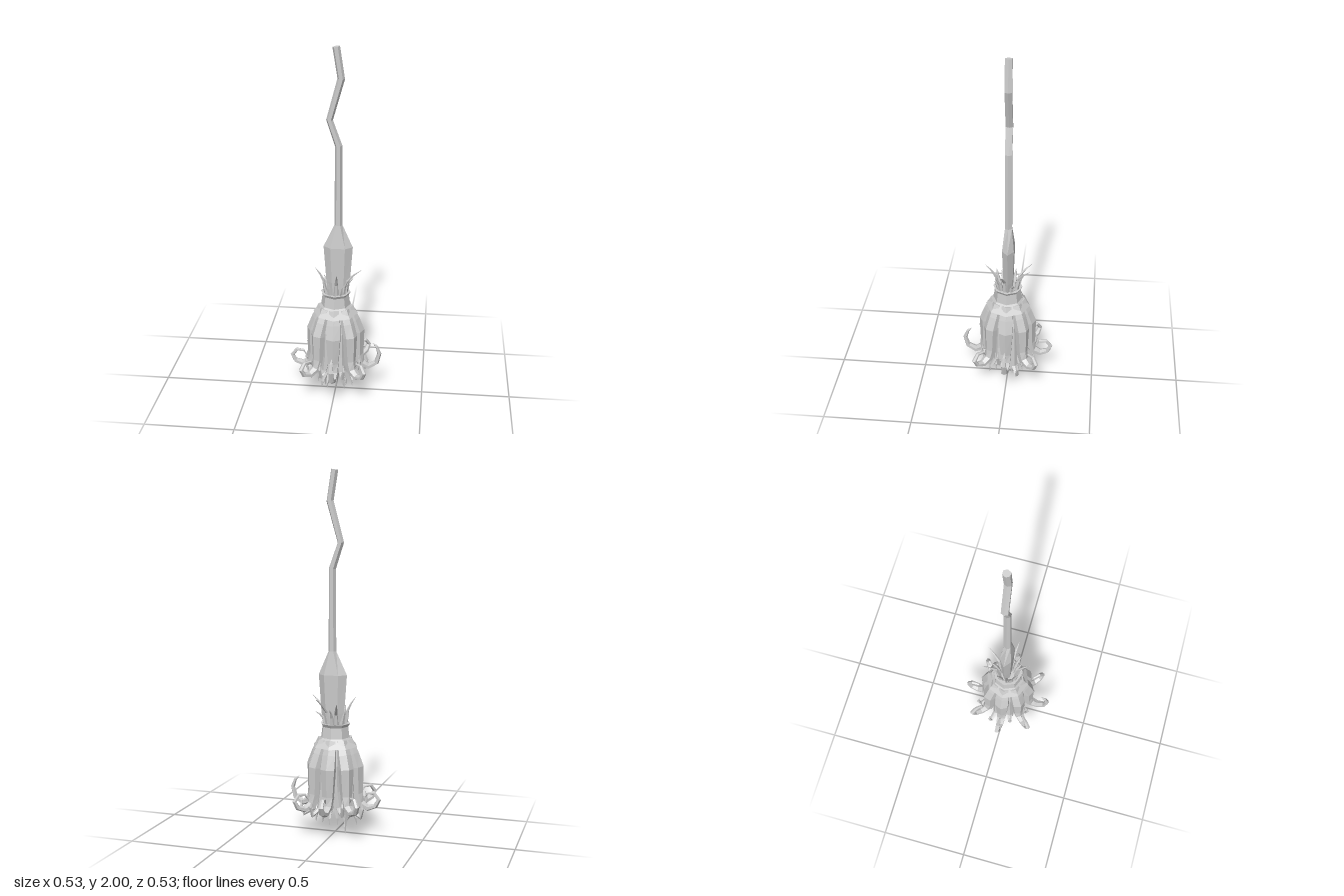
import * as THREE from 'three';

const V = (x, y, z) => new THREE.Vector3(x, y, z);
const material = new THREE.MeshStandardMaterial({ color: 0xcccccc, flatShading: true, side: THREE.DoubleSide });

// Small seeded generator for the irregular strands
let seed = 7;
const rand = (a, b) => {
  seed = (seed * 16807) % 2147483647;
  return a + (b - a) * (seed / 2147483647);
};

// Faceted limb: elliptical rings along a path. rings = [[point, depth, width], ...],
// width is measured along the side vector, depth across it.
function limb(name, rings, side, sides = 6) {
  const pos = [], index = [];
  rings.forEach(([p, depth, width], i) => {
    const prev = rings[Math.max(i - 1, 0)][0], next = rings[Math.min(i + 1, rings.length - 1)][0];
    const tangent = next.clone().sub(prev).normalize();
    const normal = side.clone().cross(tangent).normalize();
    const across = tangent.clone().cross(normal);
    for (let j = 0; j < sides; j++) {
      const a = (j / sides) * Math.PI * 2;
      const v = p.clone().addScaledVector(normal, Math.cos(a) * depth).addScaledVector(across, Math.sin(a) * width);
      pos.push(v.x, v.y, v.z);
    }
  });
  const last = (rings.length - 1) * sides, c0 = rings.length * sides;
  const first = rings[0][0], end = rings[rings.length - 1][0];
  pos.push(first.x, first.y, first.z, end.x, end.y, end.z);
  for (let j = 0; j < sides; j++) {
    const k = (j + 1) % sides;
    for (let i = 0; i < last; i += sides) {
      index.push(i + j, i + k, i + sides + k, i + j, i + sides + k, i + sides + j);
    }
    index.push(c0, k, j, c0 + 1, last + j, last + k);
  }
  const indexed = new THREE.BufferGeometry();
  indexed.setAttribute('position', new THREE.Float32BufferAttribute(pos, 3));
  indexed.setIndex(index);
  const geometry = indexed.toNonIndexed();
  geometry.computeVertexNormals();
  const mesh = new THREE.Mesh(geometry, material);
  mesh.name = name;
  return mesh;
}

// Limb lying in a vertical plane at an angle; profile = [[radius, y, depth, width, drift], ...]
function radialLimb(name, angle, profile, sides) {
  const c = Math.cos(angle), s = Math.sin(angle);
  const rings = profile.map(([r, y, d, w, t = 0]) => [V(c * r - s * t, y, s * r + c * t), d, w]);
  return limb(name, rings, V(-s, 0, c), sides);
}

export function createModel() {
  const model = new THREE.Group();
  model.name = 'broom';

  // Crooked handle that swells into a flat grip above the collar
  const handle = [
    [0.013, 0.5, 0.04, 0.02], [0.013, 0.68, 0.066, 0.03], [0.013, 0.89, 0.081, 0.038],
    [0.015, 1.02, 0.022, 0.022], [0.015, 1.47, 0.02, 0.022], [-0.033, 1.61, 0.018, 0.022],
    [0.028, 1.83, 0.02, 0.022], [0.002, 1.996, 0.02, 0.022],
  ];
  model.add(limb('handle', handle.map(([x, y, d, w]) => [V(x, y, -0.005), d, w]), V(0, 0, 1)));

  // Eight-sided flared collar
  const collar = new THREE.Mesh(new THREE.LatheGeometry([
    [0, 0.5], [0.09, 0.5], [0.126, 0.495], [0.082, 0.545], [0.074, 0.605], [0.084, 0.622],
    [0.066, 0.622], [0.058, 0.57], [0, 0.57],
  ].map(([r, y]) => new THREE.Vector2(r, y)), 8), material);
  collar.name = 'collar';
  model.add(collar);

  // Eight thick bristle bundles: long hooks on two sides, tight curls elsewhere
  const trunk = [
    [0.07, 0.53, 0.03, 0.032], [0.1, 0.455, 0.036, 0.042], [0.122, 0.385, 0.042, 0.045],
    [0.126, 0.235, 0.034, 0.034], [0.146, 0.178, 0.024, 0.029], [0.19, 0.155, 0.018, 0.023],
  ];
  const hook = [
    [0.235, 0.182, 0.015, 0.018], [0.251, 0.24, 0.012, 0.014], [0.235, 0.285, 0.008, 0.009], [0.212, 0.305, 0.001, 0.001],
  ];
  const curl = [
    [0.232, 0.17, 0.014, 0.018], [0.251, 0.205, 0.012, 0.014], [0.225, 0.24, 0.01, 0.012],
    [0.185, 0.236, 0.007, 0.008], [0.17, 0.208, 0.001, 0.001],
  ];
  const bundles = new THREE.Group();
  bundles.name = 'thickBristles';
  for (let i = 0; i < 8; i++) {
    const tip = i === 0 || i === 2 ? hook : curl;
    bundles.add(radialLimb('thickBristle', (i * Math.PI) / 4, [...trunk, ...tip]));
  }
  model.add(bundles);

  // Thinner bristles filling the gaps, with upturned ends
  const gaps = new THREE.Group();
  gaps.name = 'gapBristles';
  for (let i = 0; i < 8; i++) {
    const reach = rand(0.15, 0.2), y = rand(0.1, 0.16), t = rand(-0.025, 0.025);
    gaps.add(radialLimb('gapBristle', ((i + 0.5) * Math.PI) / 4, [
      [0.065, 0.52, 0.02, 0.022], [0.098, 0.4, 0.024, 0.025], [0.108, 0.26, 0.02, 0.022],
      [0.122, y + 0.03, 0.015, 0.016, t * 0.5], [reach - 0.015, y, 0.011, 0.012, t],
      [reach, y + 0.05, 0.008, 0.008, t], [reach - 0.01, y + 0.09, 0.001, 0.001, t],
    ], 5));
  }
  model.add(gaps);

  // Inner bristles hanging straight down to pointed, slightly bent tips
  const inner = new THREE.Group();
  inner.name = 'innerBristles';
  for (let i = 0; i < 18; i++) {
    const r = i % 2 ? 0.095 : 0.05, low = i === 8 ? 0.002 : rand(0.03, 0.11);
    const t = rand(-0.035, 0.035), out = r + rand(0.005, 0.045);
    inner.add(radialLimb('innerBristle', (i * Math.PI) / 9 + 0.2, [
      [r * 0.6, 0.51, 0.014, 0.016], [r, 0.33, 0.02, 0.02], [r, 0.2, 0.017, 0.017, t * 0.3],
      [r + 0.01, low + 0.08, 0.012, 0.012, t * 0.3], [out, low + 0.035, 0.007, 0.007, t * 0.8],
      [out + 0.004, low, 0.001, 0.001, t],
    ], 5));
  }
  model.add(inner);

  // Loose spikes poking out of the collar: tip x, y, z
  const spikes = new THREE.Group();
  spikes.name = 'collarSpikes';
  [
    [0.145, 0.77, 0.03], [0.1, 0.69, -0.048], [0.067, 0.77, -0.132], [0, 0.71, -0.1],
    [-0.05, 0.75, -0.135], [-0.07, 0.7, -0.045], [-0.112, 0.77, 0.022], [-0.038, 0.71, 0.068],
    [0.018, 0.77, 0.123], [0.078, 0.72, 0.062], [0.045, 0.68, 0.07], [-0.065, 0.69, 0.04],
    [0.04, 0.7, -0.075],
  ].forEach(([x, y, z]) => {
    const r = Math.hypot(x, z), bow = Math.min(0.068, r);
    spikes.add(radialLimb('collarSpike', Math.atan2(z, x), [
      [0.045, 0.56, 0.011, 0.014], [0.058, 0.625, 0.012, 0.015],
      [bow, 0.625 + (y - 0.625) * 0.45, 0.008, 0.01],
      [bow + (r - bow) * 0.45, 0.625 + (y - 0.625) * 0.75, 0.005, 0.006], [r, y, 0.0008, 0.0008],
    ], 5));
  });
  model.add(spikes);

  return model;
}
